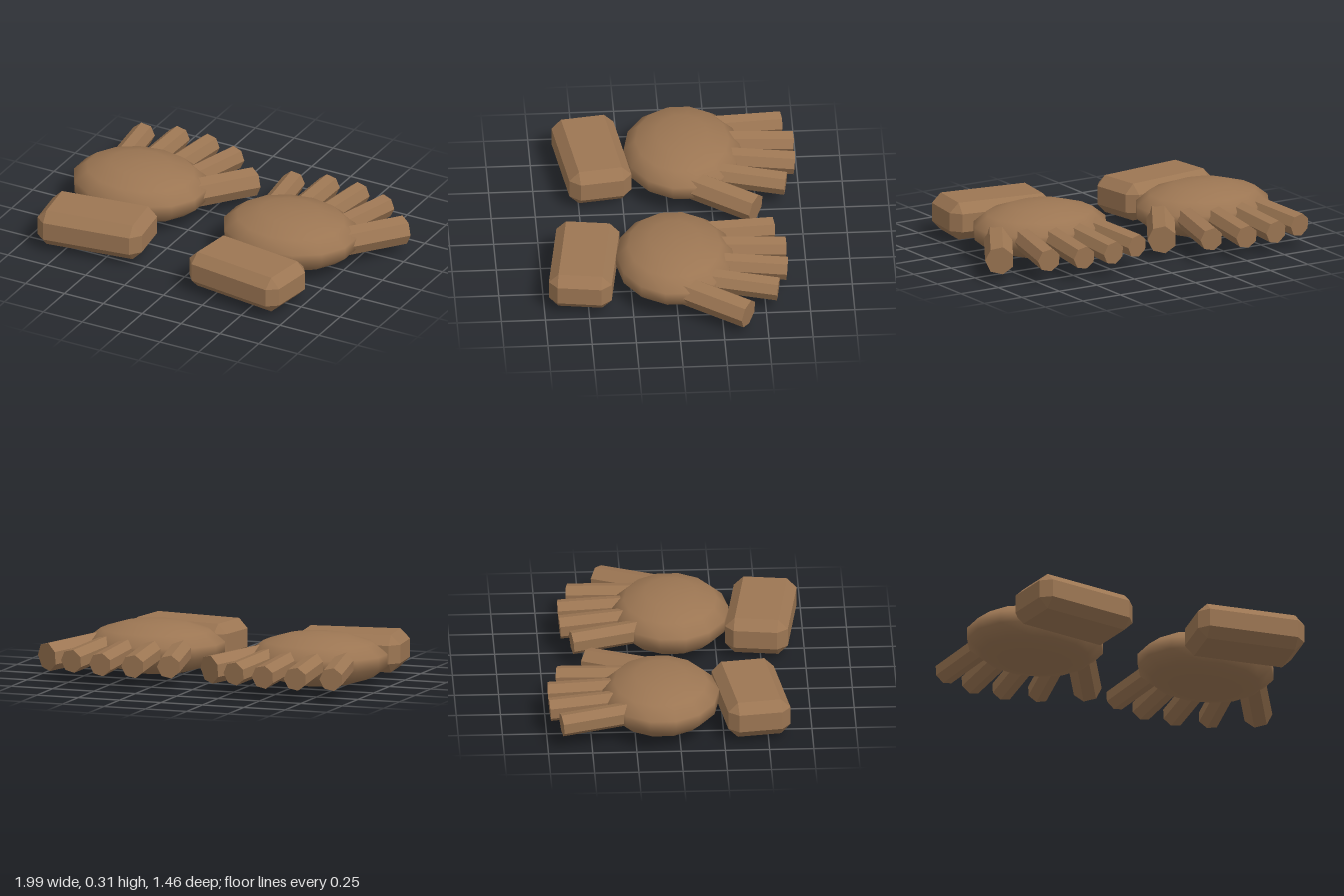
import * as THREE from 'three';
import { ConvexGeometry } from 'three/addons/geometries/ConvexGeometry.js';

const rad = THREE.MathUtils.degToRad;
const smooth = new THREE.MeshStandardMaterial({ color: 0x9c7653 });
const faceted = new THREE.MeshStandardMaterial({ color: 0x9c7653, flatShading: true });

// Box with every edge cut by a flat chamfer
function chamferBox(w, h, d, c) {
  const points = [];
  for (const x of [-1, 1]) for (const y of [-1, 1]) for (const z of [-1, 1]) {
    for (let full = 0; full < 3; full++) {
      const [px, py, pz] = [w, h, d].map((s, i) => s / 2 - (i === full ? 0 : c));
      points.push(new THREE.Vector3(x * px, y * py, z * pz));
    }
  }
  return new ConvexGeometry(points);
}

// Seven-sided rod whose tip sits at the origin and points towards -z
function rod(radius, length) {
  return new THREE.CylinderGeometry(radius, radius, length, 7, 1, false, Math.PI / 2)
    .translate(0, -length / 2, 0)
    .rotateX(-Math.PI / 2);
}

// Tip position and outward turn (degrees) of each digit, relative to the palm centre
const digits = [
  { name: 'outerFinger', tip: [-0.293, 0.135, -0.57], turn: -10 },
  { name: 'ringFinger', tip: [-0.098, 0.135, -0.63], turn: -3 },
  { name: 'middleFinger', tip: [0.098, 0.135, -0.63], turn: 3 },
  { name: 'indexFinger', tip: [0.295, 0.135, -0.57], turn: 10 },
  { name: 'thumb', tip: [0.511, 0.122, -0.389], turn: 31, radius: 0.083 },
];

function createHand(name, cuffTurn) {
  const hand = new THREE.Group();
  hand.name = name;

  // Flattened palm
  const palm = new THREE.Mesh(new THREE.SphereGeometry(1, 14, 7, Math.PI / 2), smooth);
  palm.name = 'palm';
  palm.scale.set(0.41, 0.154, 0.339);
  palm.position.y = 0.156;
  hand.add(palm);

  // Fingers and thumb, sloping slightly down to their tips
  for (const { name, tip, turn, radius = 0.068 } of digits) {
    const digit = new THREE.Mesh(rod(radius, 0.44), faceted);
    digit.name = name;
    digit.position.set(...tip);
    digit.rotation.set(rad(-4.5), rad(-turn), 0, 'YXZ');
    hand.add(digit);
  }

  // Wrist cuff
  const cuff = new THREE.Mesh(chamferBox(0.63, 0.215, 0.357, 0.055), faceted);
  cuff.name = 'cuff';
  cuff.position.set(0, 0.135, 0.512);
  cuff.rotation.y = rad(cuffTurn);
  hand.add(cuff);
  return hand;
}

export function createModel() {
  const model = new THREE.Group();
  model.name = 'pairOfHands';
  const right = createHand('rightHand', 8);
  right.position.set(-0.61, 0, -0.1);
  const left = createHand('leftHand', -8);
  left.position.set(0.41, 0, 0);
  model.add(right, left);
  return model;
}
